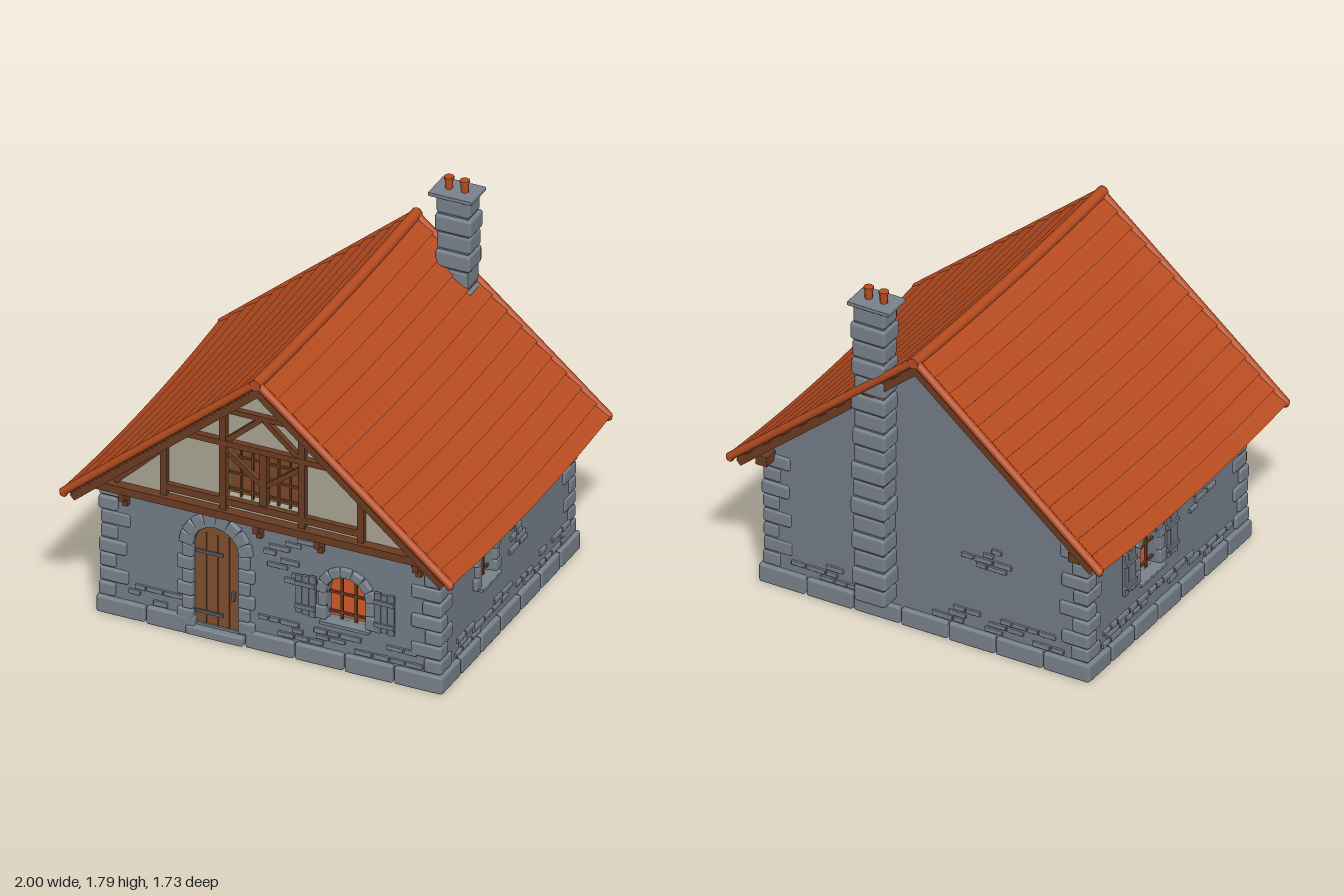
import * as THREE from 'three';
import { RoundedBoxGeometry } from 'three/addons/geometries/RoundedBoxGeometry.js';

const mat = (name, color, side = THREE.FrontSide) =>
  Object.assign(new THREE.MeshStandardMaterial({ color, side }), { name });

export function createModel() {
  const M = {
    wall: mat('wall grey', 0x747d88), stone: mat('stone grey', 0x79828c),
    floor: mat('paving grey', 0x59616a), tile: mat('terracotta', 0xb84c20),
    wood: mat('dark timber', 0x6b3c22), door: mat('door wood', 0x80502f),
    plaster: mat('plaster', 0xaaa694), shutter: mat('weathered grey wood', 0x6f7881),
    iron: mat('iron', 0x555c64),
  };
  let seed = 7;
  const rnd = (a = 0, b = 1) => {
    seed = (seed * 16807) % 2147483647;
    return a + (b - a) * seed / 2147483647;
  };
  const house = new THREE.Group();
  house.name = 'cottage';

  // Helpers
  const group = (name, parent = house) => {
    const g = new THREE.Group();
    g.name = name;
    parent.add(g);
    return g;
  };
  const add = (p, name, geo, m, x = 0, y = 0, z = 0, rz = 0) => {
    const o = new THREE.Mesh(geo, m);
    o.name = name;
    o.position.set(x, y, z);
    o.rotation.z = rz;
    p.add(o);
    return o;
  };
  const box = (p, name, m, x, y, z, w, h, d, rz = 0) =>
    add(p, name, new THREE.BoxGeometry(w, h, d), m, x, y, z, rz);
  const stone = (p, name, x, y, z, w, h, d, rz = 0) =>
    add(p, name, new RoundedBoxGeometry(w, h, d, 1, Math.min(w, h, d) * 0.18), M.stone, x, y, z, rz);
  const beam = (p, name, x1, y1, x2, y2, w, z, d, m = M.wood) =>
    box(p, name, m, (x1 + x2) / 2, (y1 + y2) / 2, z, Math.hypot(x2 - x1, y2 - y1), w, d, Math.atan2(y2 - y1, x2 - x1));
  const trace = (s, pts) => {
    pts.forEach(([x, y], i) => (i ? s.lineTo(x, y) : s.moveTo(x, y)));
    s.closePath();
    return s;
  };
  const arch = (s, { x, y0, yc, r }) => {
    s.moveTo(x - r, y0);
    s.lineTo(x + r, y0);
    s.lineTo(x + r, yc);
    s.absarc(x, yc, r, 0, Math.PI, false);
    s.closePath();
    return s;
  };
  const slab = (p, name, m, shape, depth, z) =>
    add(p, name, new THREE.ExtrudeGeometry(shape, { depth, bevelEnabled: false, curveSegments: 10 }), m, 0, 0, z);

  // Walls: each group's local +z points outwards, its face lies on z = 0
  const FRONT = 0.69, BACK = -0.74, HX = 0.855, MID = (FRONT + BACK) / 2, HZ = (FRONT - BACK) / 2;
  const door = { x: -0.275, y0: 0.07, yc: 0.485, r: 0.115 };
  const frontWin = { x: 0.385, y0: 0.255, yc: 0.4, r: 0.1 };
  const rightWin = { x: -0.205 + MID, y0: 0.355, yc: 0.475, r: 0.075 };
  const leftWin = { x: -0.2 - MID, y0: 0.3, yc: 0.44, r: 0.09 };
  const makeWall = (name, x, z, ry, half, top, openings, peak) => {
    const g = group(name);
    g.position.set(x, 0, z);
    g.rotation.y = ry;
    const pts = [[-half, 0.02], [half, 0.02], [half, top]];
    if (peak) pts.push([0, peak]);
    const s = trace(new THREE.Shape(), [...pts, [-half, top]]);
    openings.forEach(o => s.holes.push(arch(new THREE.Path(), o)));
    slab(g, 'wall', M.wall, s, 0.05, -0.05);
    // Plinth of large blocks, left open at the doorway
    const n = 7, len = (2 * half + 0.05) / n;
    for (let i = 0; i < n; i++) {
      const cx = -half - 0.025 + (i + 0.5) * len;
      if (openings.includes(door) && Math.abs(cx - door.x) < 0.13) continue;
      stone(g, 'plinthStone', cx, 0.053, -0.005, len - 0.008, rnd(0.085, 0.094), 0.06);
    }
    return g;
  };
  const front = makeWall('frontWall', 0, FRONT, 0, HX, 0.74, [door, frontWin]);
  const right = makeWall('rightWall', HX, MID, Math.PI / 2, HZ, 0.71, [rightWin]);
  const left = makeWall('leftWall', -HX, MID, -Math.PI / 2, HZ, 0.71, [leftWin]);
  const back = makeWall('backWall', 0, BACK, Math.PI, HX, 0.73, [], 1.455);

  // Patches of exposed thin masonry
  const patch = (g, x0, x1, y0, rows, keep = 0.8) => {
    for (let r = 0; r < rows; r++)
      for (let x = x0 + rnd(0, 0.06); x < x1;) {
        const w = rnd(0.05, 0.11);
        if (rnd() < keep) stone(g, 'wallStone', x + w / 2, y0 + r * 0.032, 0.001, w, rnd(0.022, 0.028), 0.02);
        x += w + 0.006;
      }
  };
  patch(front, -0.74, -0.52, 0.12, 3, 0.7);
  patch(front, -0.08, 0.7, 0.12, 3, 0.75);
  patch(front, -0.06, 0.14, 0.38, 9, 0.45);
  patch(right, -0.56, 0.6, 0.12, 3, 0.7);
  patch(right, -0.02, 0.13, 0.36, 8, 0.45);
  patch(left, -0.6, 0.55, 0.12, 3, 0.65);
  patch(left, 0.2, 0.4, 0.36, 7, 0.4);
  patch(back, -0.75, -0.4, 0.12, 3, 0.6);
  patch(back, 0, 0.72, 0.12, 3, 0.6);
  patch(back, 0.15, 0.4, 0.42, 5, 0.45);

  // Corner quoins, alternating long and short
  const quoins = group('cornerQuoins');
  for (const sx of [-1, 1]) for (const sz of [-1, 1]) for (let i = 0; i < 8; i++) {
    const w = (i % 2 ? 0.15 : 0.09) + rnd(-0.01, 0.01), d = (i % 2 ? 0.08 : 0.13) + rnd(-0.01, 0.01);
    const out = rnd(0.008, 0.018);
    stone(quoins, 'quoin', sx * (HX + out - w / 2), 0.137 + i * 0.076, MID + sz * (HZ + out - d / 2), w, 0.071, d);
  }

  // Stone arch and jambs around an opening
  const surround = (g, { x, y0, yc, r }, n, thick, rows) => {
    const rm = r + thick / 2, len = Math.PI * (r + thick * 0.7) / n * 0.97;
    for (let i = 0; i < n; i++) {
      const a = (i + 0.5) / n * Math.PI;
      stone(g, 'archStone', x + rm * Math.cos(a), yc + rm * Math.sin(a), 0, thick, len, 0.045, a);
    }
    const h = (yc - y0) / rows;
    for (const s of [-1, 1]) for (let i = 0; i < rows; i++) {
      const w = thick * (i % 2 ? 0.8 : 1.15);
      stone(g, 'jambStone', x + s * (r + w / 2), y0 + (i + 0.5) * h, 0, w, h * 0.95, 0.045);
    }
  };
  surround(front, door, 8, 0.07, 6);
  surround(front, frontWin, 7, 0.05, 2);
  surround(right, rightWin, 6, 0.05, 2);
  surround(left, leftWin, 7, 0.05, 2);

  // Door with plank joints, straps, handle and step
  slab(front, 'door', M.door, arch(new THREE.Shape(), door), 0.03, -0.04);
  for (const dx of [-0.058, 0, 0.058]) box(front, 'plankJoint', M.wood, door.x + dx, 0.31, -0.009, 0.007, 0.48, 0.006);
  for (const y of [0.13, 0.45]) box(front, 'hingeStrap', M.iron, -0.315, y, -0.005, 0.14, 0.016, 0.008);
  box(front, 'doorHandle', M.iron, -0.19, 0.25, 0, 0.015, 0.04, 0.02);
  stone(front, 'doorStep', door.x, 0.035, 0.005, 0.29, 0.045, 0.06);

  // Window bars, sill and shutters
  const windowFittings = (g, { x, y0, yc, r }, shutters) => {
    const h = yc - y0;
    for (const s of [-1, 1]) box(g, 'windowBar', M.wood, x + s * r * 0.36, y0 + (h + r * 0.9) / 2, -0.025, 0.012, h + r * 0.9, 0.012);
    for (const f of [0.25, 0.95]) box(g, 'windowBar', M.wood, x, y0 + h * f, -0.025, r * 2, 0.012, 0.012);
    stone(g, 'windowSill', x, y0 - 0.006, 0.008, r * 2 + 0.05, 0.018, 0.06);
    if (!shutters) return;
    for (const s of [-1, 1]) {
      const cx = x + s * (r + 0.1), cy = y0 + 0.11;
      for (const k of [-1, 0, 1]) box(g, 'shutterPlank', M.shutter, cx + k * 0.034, cy, 0.018, 0.031, 0.21 + rnd(-0.012, 0.012), 0.014);
      for (const k of [-1, 1]) box(g, 'shutterBatten', M.shutter, cx, cy + k * 0.06, 0.028, 0.1, 0.022, 0.012);
    }
  };
  windowFittings(front, frontWin, true);
  windowFittings(right, rightWin, false);
  windowFittings(left, leftWin, true);

  // Interior lining facing inwards, and floors
  const lining = new THREE.ExtrudeGeometry(
    trace(new THREE.Shape(), [[-0.79, 0.05], [0.79, 0.05], [0.79, 0.7], [0, 1.37], [-0.79, 0.7]]),
    { depth: 1.32, bevelEnabled: false });
  lining.scale(-1, 1, 1).computeVertexNormals();
  add(house, 'interiorLining', lining, M.plaster, 0, 0, -0.68);
  box(house, 'groundFloor', M.tile, 0, 0.06, MID, 1.58, 0.02, 1.32);
  box(house, 'upperFloor', M.wood, 0, 0.745, 0, 1.56, 0.02, 1.4);

  // Paved underside
  const paving = group('paving');
  box(paving, 'pavingBed', M.floor, 0, 0.035, MID, 1.68, 0.02, 1.4);
  for (let r = 0; r < 11; r++) for (let c = 0; c < 9; c++) {
    const off = r % 2 ? 0.045 : -0.045;
    box(paving, 'pavingSlab', M.floor, (c - 4) * 0.178 + off, 0.02 + rnd(0, 0.006), MID + (r - 5) * 0.127, 0.172, 0.02, 0.121);
  }

  // Timber-framed front gable, jettied over the wall
  const gable = group('frontGable');
  const panel = trace(new THREE.Shape(), [[-0.815, 0.74], [0.815, 0.74], [0, 1.465]]);
  panel.holes.push(trace(new THREE.Path(), [[-0.19, 0.83], [0.19, 0.83], [0.19, 1.1], [-0.19, 1.1]]));
  slab(gable, 'gablePlaster', M.plaster, panel, 0.04, 0.72);
  const GZ = 0.77, GD = 0.035;
  beam(gable, 'sillBeam', -0.83, 0.745, 0.83, 0.745, 0.04, 0.755, 0.11);
  beam(gable, 'lowerRail', -0.49, 0.81, 0.49, 0.81, 0.036, GZ, GD);
  beam(gable, 'middleRail', -0.4, 1.12, 0.4, 1.12, 0.03, GZ, GD + 0.006);
  beam(gable, 'upperRail', -0.22, 1.295, 0.22, 1.295, 0.026, GZ, GD);
  beam(gable, 'windowMullion', 0, 0.82, 0, 1.11, 0.038, GZ - 0.01, GD);
  for (const s of [-1, 1]) {
    beam(gable, 'outerPost', s * 0.5, 0.765, s * 0.5, 1.035, 0.032, GZ, GD + 0.004);
    beam(gable, 'windowPost', s * 0.2, 0.765, s * 0.2, 1.3, 0.034, GZ, GD + 0.004);
    beam(gable, 'cornerBrace', s * 0.75, 0.775, s * 0.51, 1.005, 0.03, GZ, GD - 0.004);
    beam(gable, 'upperBrace', s * 0.185, 1.13, s * 0.01, 1.285, 0.026, GZ, GD - 0.004);
    beam(gable, 'windowBrace', s * 0.18, 1.06, s * 0.01, 0.93, 0.024, GZ - 0.012, GD - 0.006);
    for (const x of [0.065, 0.125]) beam(gable, 'windowBar', s * x, 0.83, s * x, 1.1, 0.01, 0.745, 0.012);
  }
  for (const y of [0.865, 0.95, 1.04]) beam(gable, 'windowBar', -0.19, y, 0.19, y, 0.01, 0.745, 0.012);
  for (const x of [-0.73, -0.05, 0.26, 0.76]) {
    box(gable, 'corbel', M.wood, x, 0.69, 0.715, 0.028, 0.075, 0.08);
    box(gable, 'corbelFoot', M.wood, x, 0.64, 0.7, 0.026, 0.06, 0.035);
  }

  // Sagging roof: t runs from ridge to eave, h is height off the slope
  const roof = group('roof');
  const RL = 0.85, RX = 0.98;
  const roofPoint = (side, t, h, z) => {
    const sag = (0.02 + 0.02 * t) * (1 - (z / RL) ** 2);
    return new THREE.Vector3(side * (t * RX + h * 0.65), 1.505 - 0.825 * t + h * 0.76 - sag, z);
  };
  const roofStrip = (name, m, side, t0, t1, height, len) => {
    const geo = new THREE.BoxGeometry(1, 1, 1, 1, 1, 18), p = geo.attributes.position;
    for (let i = 0; i < p.count; i++) {
      const u = 0.5 + side * p.getX(i), v = p.getY(i) + 0.5;
      const q = roofPoint(side, t0 + (t1 - t0) * u, height(u, v), p.getZ(i) * len);
      p.setXYZ(i, q.x, q.y, q.z);
    }
    geo.computeVertexNormals();
    add(roof, name, geo, m);
  };
  const ROWS = 13;
  for (const side of [-1, 1]) {
    roofStrip('roofBoarding', M.wood, side, 0, 0.975, (u, v) => -0.035 + v * 0.034, 1.68);
    for (let i = 0; i < ROWS; i++)
      roofStrip('tileRow', M.tile, side, i / ROWS, Math.min((i + 1.12) / ROWS, 1), (u, v) => v * 0.01 + u * 0.014, 1.7);
    for (const z of [-0.843, 0.843]) {
      const path = new THREE.LineCurve3(roofPoint(side, 0, 0.01, z), roofPoint(side, 1, 0.01, z));
      add(roof, 'vergeRoll', new THREE.TubeGeometry(path, 1, 0.02, 8), M.tile);
      const end = roofPoint(side, 1, 0.01, z);
      add(roof, 'vergeEnd', new THREE.SphereGeometry(0.021, 8, 6), M.tile, end.x - side * 0.008, end.y, end.z);
      const a = roofPoint(side, 0, -0.035, z), b = roofPoint(side, 0.98, -0.035, z);
      beam(roof, 'bargeBoard', a.x, a.y, b.x, b.y, 0.035, z * 0.985, 0.025);
    }
    // Rafter tails below the eave
    for (let i = 0; i < 8; i++) {
      const z = -0.66 + i * 0.18, a = roofPoint(side, 0.86, -0.045, z), b = roofPoint(side, 0.965, -0.045, z);
      beam(roof, 'rafterTail', a.x, a.y, b.x, b.y, 0.03, z, 0.028);
    }
    // Wall plates showing under the back overhang
    box(roof, 'wallPlate', M.wood, side * 0.83, 0.7, -0.77, 0.06, 0.05, 0.1);
  }
  const ridge = new THREE.CatmullRomCurve3([-0.86, -0.45, 0, 0.45, 0.86].map(z => roofPoint(1, 0, 0, z).setX(0).add(new THREE.Vector3(0, 0.008, 0))));
  add(roof, 'ridgeRoll', new THREE.TubeGeometry(ridge, 20, 0.028, 10), M.tile);
  for (const z of [-0.86, 0.86]) {
    const cap = add(roof, 'ridgeEnd', new THREE.CylinderGeometry(0.028, 0.028, 0.006, 10), M.tile, 0, 1.513, z);
    cap.rotation.x = Math.PI / 2;
  }

  // Chimney of stacked blocks, with cap and two pots
  const chimney = group('chimney');
  for (let i = 0; i < 17; i++) {
    const w = (i % 2 ? 0.185 : 0.17) + rnd(-0.006, 0.006);
    stone(chimney, 'chimneyBlock', 0.245 + rnd(-0.004, 0.004), 0.167 + i * 0.0942, -0.785, w, 0.09, i % 2 ? 0.14 : 0.125);
  }
  box(chimney, 'chimneyCore', M.wall, 0.245, 0.92, -0.785, 0.155, 1.58, 0.11);
  stone(chimney, 'chimneyCap', 0.24, 1.73, -0.783, 0.22, 0.02, 0.16);
  for (const x of [0.2, 0.28]) {
    add(chimney, 'chimneyPot', new THREE.CylinderGeometry(0.02, 0.018, 0.065, 12), M.tile, x, 1.767, -0.783);
    add(chimney, 'potRim', new THREE.CylinderGeometry(0.024, 0.024, 0.012, 12), M.tile, x, 1.794, -0.783);
  }
  return house;
}
